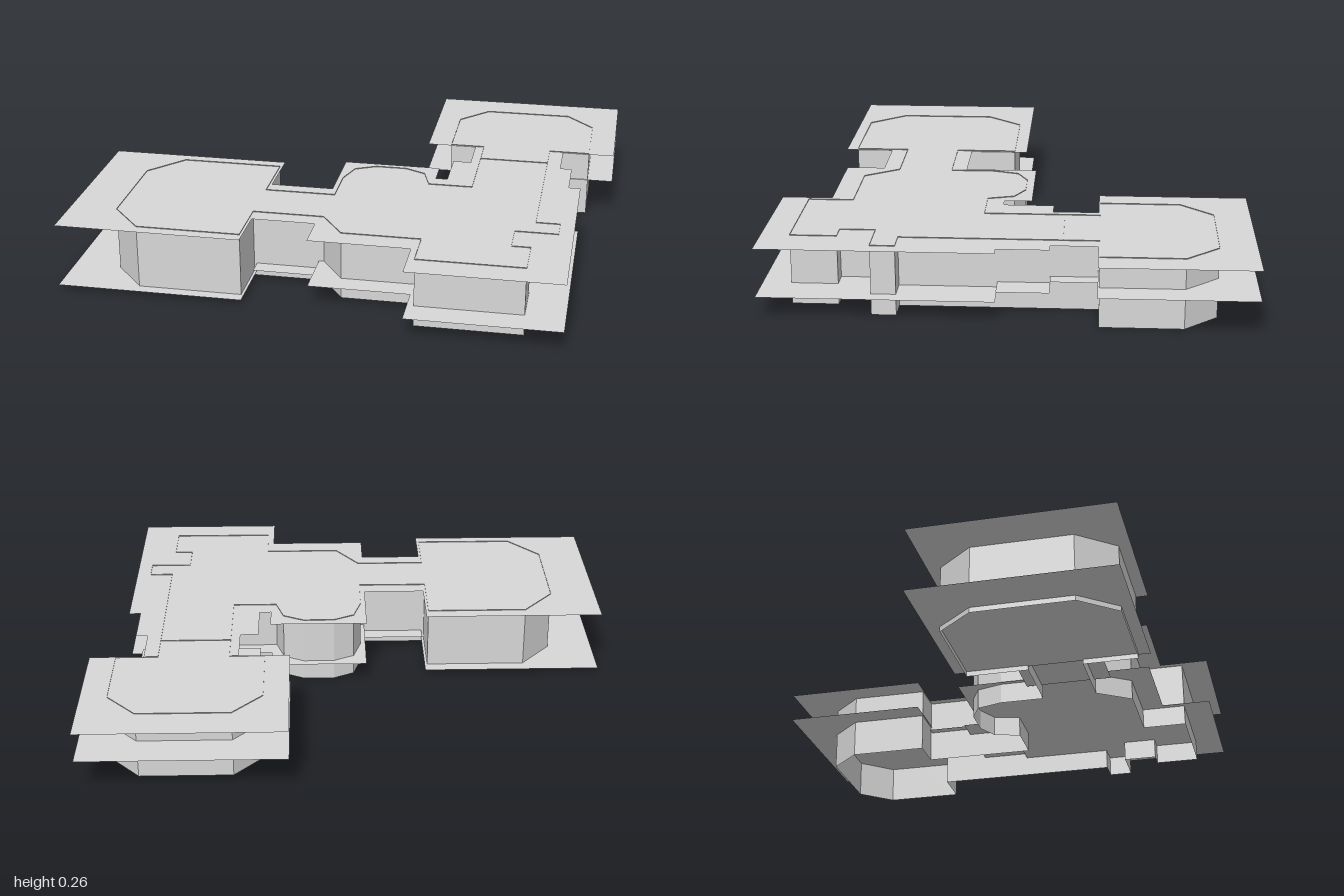
import * as THREE from 'three';

const stone = new THREE.MeshStandardMaterial({ color: 0xd7d7d7, side: THREE.DoubleSide });
stone.name = 'stone grey';

const HEIGHT = 0.265;

// Flat horizontal sheet from a plan outline of [x, z] corners
function sheet(name, corners, y) {
  const shape = new THREE.Shape(corners.map(([x, z]) => new THREE.Vector2(x, -z)));
  const geometry = new THREE.ShapeGeometry(shape).rotateX(-Math.PI / 2);
  const mesh = new THREE.Mesh(geometry, stone);
  mesh.name = name;
  mesh.position.y = y;
  return mesh;
}

const rect = (x0, x1, z0, z1) => [[x0, z0], [x0, z1], [x1, z1], [x1, z0]];

// Upright wall panels following a plan path, wound to face outward
function walls(name, path, y0, y1) {
  const positions = [];
  for (let i = 0; i < path.length - 1; i++) {
    const [x0, z0] = path[i];
    const [x1, z1] = path[i + 1];
    positions.push(
      x0, y0, z0, x1, y0, z1, x1, y1, z1,
      x0, y0, z0, x1, y1, z1, x0, y1, z0
    );
  }
  const geometry = new THREE.BufferGeometry();
  geometry.setAttribute('position', new THREE.Float32BufferAttribute(positions, 3));
  geometry.computeVertexNormals();
  const mesh = new THREE.Mesh(geometry, stone);
  mesh.name = name;
  return mesh;
}

export function createModel() {
  const group = new THREE.Group();
  group.name = 'connectedRooms';

  // One ceiling over every room and passage
  group.add(sheet('ceiling', [
    [-1, -0.02], [-0.3, -0.02], [-0.3, 0.21], [-0.06, 0.21], [-0.06, -0.07],
    [0.32, -0.07], [0.32, 0.035], [0.365, 0.035], [0.365, -0.155], [0.435, -0.155],
    [0.435, -0.325], [0.24, -0.325], [0.24, -0.885], [1, -0.885], [1, -0.325],
    [0.795, -0.325], [0.795, -0.155], [0.84, -0.155], [0.84, 0.035], [0.885, 0.035],
    [0.885, 0.885], [0.32, 0.885], [0.32, 0.695], [-0.06, 0.695], [-0.06, 0.545],
    [-0.3, 0.545], [-0.3, 0.735], [-1, 0.735]
  ], HEIGHT - 0.003));

  // Floors rise from the side room through the hall to the back room
  group.add(sheet('sideRoomFloor', rect(-1, -0.3, -0.02, 0.735), 0.02));
  group.add(sheet('sidePassageFloor', rect(-0.3, -0.06, 0.21, 0.545), 0.05));
  group.add(sheet('hallFloor', [
    [-0.06, -0.07], [0.32, -0.07], [0.32, 0.035], [0.885, 0.035],
    [0.885, 0.885], [0.32, 0.885], [0.32, 0.695], [-0.06, 0.695]
  ], 0.08));
  group.add(sheet('lowerPassageFloor', rect(0.365, 0.84, -0.155, 0.035), 0.1));
  group.add(sheet('upperPassageFloor', rect(0.435, 0.795, -0.325, -0.155), 0.125));
  group.add(sheet('backRoomFloor', rect(0.24, 1, -0.885, -0.325), 0.15));

  group.add(walls('walls', [
    // Side room with cut corners
    [-0.31, 0.27], [-0.31, 0.03], [-0.7, 0.03], [-0.82, 0.17],
    [-0.82, 0.55], [-0.7, 0.69], [-0.31, 0.69], [-0.31, 0.48],
    // Front of the hall, its bay and the small square alcove
    [-0.04, 0.48], [0.05, 0.61], [0.345, 0.61], [0.345, 0.78],
    [0.74, 0.78], [0.74, 0.61], [0.67, 0.61], [0.67, 0.48],
    [0.83, 0.48], [0.83, 0.39], [0.74, 0.39],
    // Back room with cut corners
    [0.74, -0.33], [0.9, -0.33], [0.9, -0.63], [0.79, -0.75],
    [0.445, -0.75], [0.335, -0.63], [0.335, -0.33], [0.47, -0.33],
    // Rounded niche behind the hall
    [0.47, 0.1], [0.3, 0.1], [0.27, 0], [0.19, -0.04],
    [0.07, -0.04], [-0.01, 0], [-0.04, 0.1], [-0.04, 0.27], [-0.31, 0.27]
  ], 0, HEIGHT));

  // Lintel over the stepped passage to the back room
  group.add(walls('passageLintel', [[0.47, -0.2], [0.74, -0.2]], 0.2, HEIGHT));

  return group;
}
